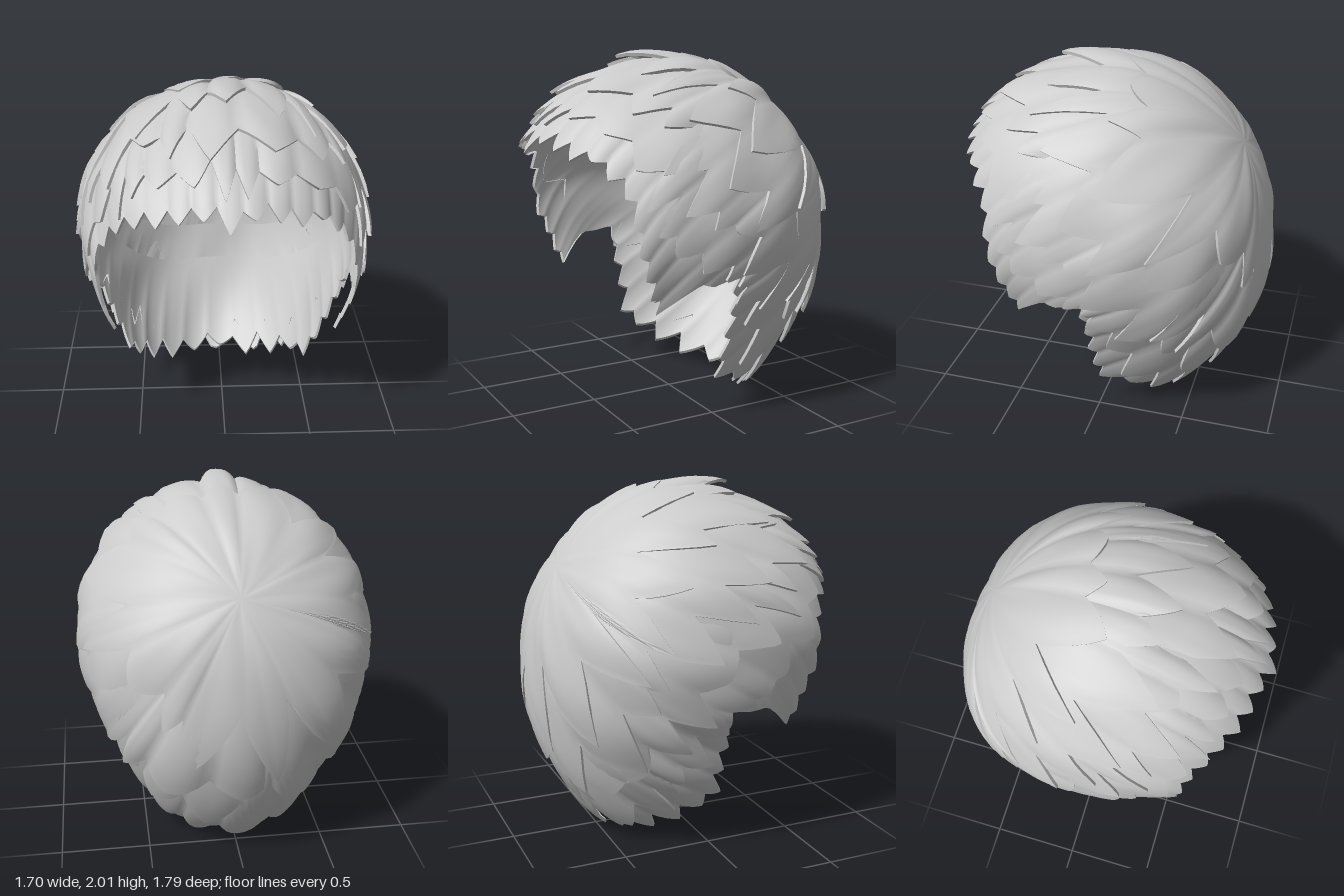
import * as THREE from 'three';
import { toCreasedNormals } from 'three/addons/utils/BufferGeometryUtils.js';

const material = new THREE.MeshStandardMaterial({ color: 0xcccccc, side: THREE.DoubleSide });
const V = (x, y, z) => new THREE.Vector3(x, y, z);
const centre = V(0, 1.13, 0);

// Hair grows from the whorl at the back of the crown
const whorl = V(0, 0.53, -0.848).normalize();
const over = V(0, 0.848, 0.53).normalize();
const direction = (az, polar) => whorl.clone().multiplyScalar(Math.cos(polar))
  .addScaledVector(over, Math.sin(polar) * Math.cos(az))
  .addScaledVector(V(1, 0, 0), Math.sin(polar) * Math.sin(az));

// Strands over the temples bend down toward their ends
const bend = (az, polar) => 0.6 * Math.sin(az) * Math.max(0, polar - 1.75) ** 2;

// Head radius: rounded crown, squarish in plan, narrow neck, fuller low on the back
function radius(d) {
  const r = 1 / Math.hypot(d.x / 0.825, d.y / (d.y > 0 ? 0.835 : 1.25), d.z / 0.86);
  const back = (d.y > 0 ? 0.08 : 0.11) * d.y * Math.max(0, -d.z) ** 2;
  const neck = d.y < 0 ? 0.27 * d.y * d.y * d.x * d.x : 0;
  return r - back - neck + 0.15 * d.x * d.x * d.z * d.z;
}

// Hairline of one side: fringe, sideburn, ear notch, nape
const hairline = [
  [0, 1.49, 0.82], [0.35, 1.49, 0.75], [0.52, 1.42, 0.66], [0.62, 1.33, 0.58], [0.66, 1.2, 0.54],
  [0.66, 1.02, 0.52], [0.65, 0.66, 0.43], [0.72, 0.82, 0.25], [0.78, 0.84, 0.02], [0.7, 0.6, 0],
  [0.58, 0.2, 0.02], [0.52, 0.1, -0.1], [0.42, 0.02, -0.28], [0.22, 0, -0.38], [0, 0, -0.44],
].map((p) => {
  const d = V(...p).sub(centre);
  const az = Math.atan2(d.x, d.dot(over)), polar = d.angleTo(whorl);
  return [az - bend(az, polar), polar];
});

function hairLength(az) {
  const a = Math.abs(Math.atan2(Math.sin(az), Math.cos(az)));
  let k = 1;
  while (k < hairline.length - 1 && hairline[k][0] < a) k++;
  const [a0, l0] = hairline[k - 1], [a1, l1] = hairline[k];
  return l0 + (l1 - l0) * Math.min(1, (a - a0) / (a1 - a0));
}

// Hair length with the ear notch softened, for the upper tiers
function softLength(az) {
  let sum = 0;
  for (let k = -4; k <= 4; k++) sum += hairLength(az + k * 0.09);
  return sum / 9;
}

function seeded(seed) {
  return () => {
    seed = (seed * 1664525 + 1013904223) % 4294967296;
    return seed / 4294967296;
  };
}

// One tier of overlapping locks: a skirt with a pointed lower edge and a thin turned-in rim
function tier({ name, from, to, teeth, depth, base, lift, ridge, jitter, seed, soft = true }) {
  const rand = seeded(seed * 7919);
  const locks = Array.from({ length: teeth }, () => ({
    len: (rand() - 0.5) * jitter, high: 0.3 + 1.2 * rand(), valley: soft ? 0.55 + 0.9 * rand() : 0.8 + 0.4 * rand(),
  }));
  const perTooth = 8, rows = 12, cols = teeth * perTooth;
  const pos = [], index = [];
  for (let i = 0; i <= rows + 1; i++) {
    const t = Math.min(1, i / rows);
    for (let j = 0; j < cols; j++) {
      const u = j / perTooth;
      const lock = locks[Math.round(u) % teeth], valley = locks[Math.floor(u)].valley;
      const s = Math.abs(u - Math.round(u)) * 2;
      const turn = (u / teeth) * Math.PI * 2;
      const root = turn + (soft ? 0.08 * Math.sin(3 * turn + seed) + 0.05 * Math.sin(7 * turn + 2 * seed) : 0);
      // Locks lie flat over the ears and stand out at fringe and back
      const front = Math.max(0, Math.cos(root)) ** 2, rear = Math.max(0, -Math.cos(root)) ** 2;
      const loose = 0.4 + 0.6 * (front + rear);
      const full = hairLength(root);
      const length = soft ? softLength(root) * (to + 0.35 * to * (1 - to) * rear) : full;
      // Neighbouring locks share the valley between them
      const reach = length - depth * (soft ? 1 : loose) * valley * Math.pow(s, 1.15) + lock.len * (1 - s);
      const end = soft ? Math.min(reach, full - 0.03 - 0.05 * s) : reach;
      const start = from * softLength(root);
      const polar = start + (Math.max(end, start + 0.05) - start) * t;
      const d = direction(root + bend(root, polar), polar);
      const waves = Math.sin(polar) * (0.007 * Math.sin(5 * root + 4 * polar + seed)
        + 0.006 * Math.sin(11 * root - 7 * polar + 2 * seed));
      const rise = base + waves + loose * (lift * t * t + ridge * lock.high * (1 - s * s) * t * t * (3 - 2 * t))
        + front * 0.1 * Math.max(0, polar - 1.4);
      const p = d.multiplyScalar(radius(d) + rise - (i > rows ? 0.018 : 0)).add(centre);
      pos.push(p.x, p.y, p.z);
    }
  }
  for (let i = 0; i <= rows; i++) {
    for (let j = 0; j < cols; j++) {
      const a = i * cols + j, b = i * cols + (j + 1) % cols;
      index.push(a, a + cols, b + cols);
      if (i > 0 || from > 0) index.push(a, b + cols, b);
    }
  }
  const geometry = new THREE.BufferGeometry();
  geometry.setAttribute('position', new THREE.Float32BufferAttribute(pos, 3));
  geometry.setIndex(index);
  const mesh = new THREE.Mesh(toCreasedNormals(geometry, 0.9), material);
  mesh.name = name;
  return mesh;
}

export function createModel() {
  const hair = new THREE.Group();
  hair.name = 'hair';

  // Tiers from the hairline up to the whorl, each tucked under the next
  hair.add(
    tier({ name: 'hairlineLocks', from: 0.66, to: 1, teeth: 42, depth: 0.1, base: -0.02, lift: 0.012, ridge: 0.014, jitter: 0.06, seed: 11, soft: false }),
    tier({ name: 'lowerLocks', from: 0.53, to: 0.93, teeth: 32, depth: 0.15, base: -0.008, lift: 0.014, ridge: 0.024, jitter: 0.14, seed: 23 }),
    tier({ name: 'middleLocks', from: 0.38, to: 0.81, teeth: 26, depth: 0.2, base: 0.002, lift: 0.014, ridge: 0.03, jitter: 0.22, seed: 37 }),
    tier({ name: 'upperLocks', from: 0.18, to: 0.67, teeth: 20, depth: 0.26, base: 0.008, lift: 0.014, ridge: 0.034, jitter: 0.28, seed: 59 }),
    tier({ name: 'crownLocks', from: 0, to: 0.5, teeth: 15, depth: 0.3, base: 0.015, lift: 0.012, ridge: 0.03, jitter: 0.38, seed: 71 }),
  );

  // Stand on the ground, centred
  const box = new THREE.Box3().setFromObject(hair);
  const mid = box.getCenter(V(0, 0, 0));
  hair.position.set(-mid.x, -box.min.y, -mid.z);

  const model = new THREE.Group();
  model.name = 'hairpiece';
  model.add(hair);
  return model;
}
